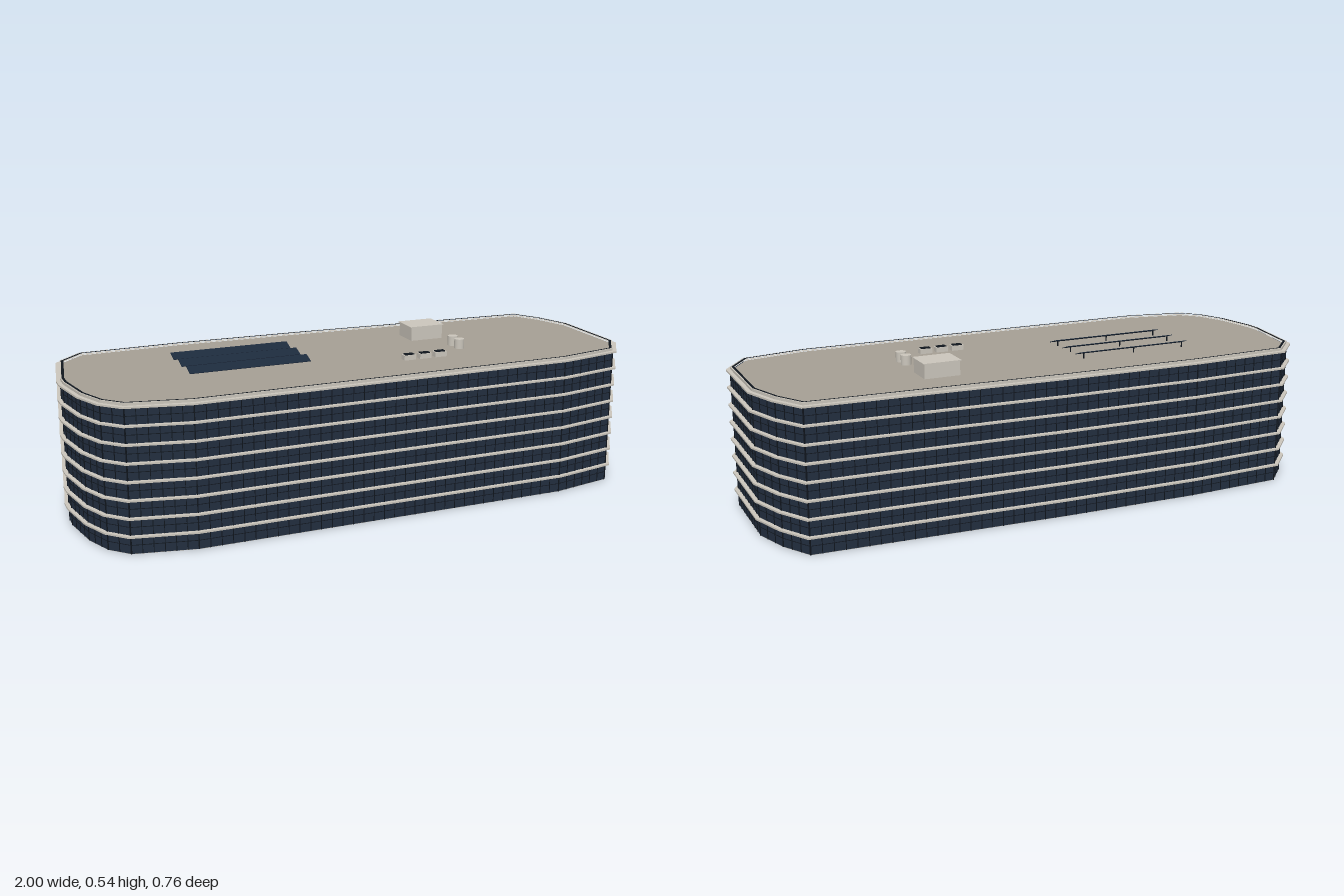
import * as THREE from 'three';

const mat = (name, color, side = THREE.FrontSide) => {
  const m = new THREE.MeshStandardMaterial({ color, side });
  m.name = name;
  return m;
};

// Wall footprint as [x, z], listed clockwise seen from above, starting back left
const FOOTPRINT = [
  [-0.86, -0.355], [-0.5, -0.367], [0, -0.355], [0.88, -0.312], [0.94, -0.21],
  [0.983, -0.085], [0.983, 0.22], [0.915, 0.322], [0.69, 0.365], [-0.65, 0.365],
  [-0.86, 0.322], [-0.92, 0.26], [-0.96, 0.16], [-0.985, 0.01], [-0.985, -0.04],
  [-0.945, -0.27],
].map(([x, z]) => new THREE.Vector2(x, z));

// Mitred offset of the footprint, positive is outward
function offset(d) {
  const n = FOOTPRINT.length;
  const normal = (a, b) => new THREE.Vector2(b.y - a.y, a.x - b.x).normalize();
  return FOOTPRINT.map((p, i) => {
    const n1 = normal(FOOTPRINT[(i + n - 1) % n], p);
    const n2 = normal(p, FOOTPRINT[(i + 1) % n]);
    const m = n1.clone().add(n2).normalize();
    return p.clone().addScaledVector(m, d / m.dot(n1));
  });
}

// Upright prism of the footprint, hollow when an inner offset is given
function prism(outer, inner, y0, y1) {
  const pts = (d) => offset(d).map((p) => new THREE.Vector2(p.x, -p.y));
  const shape = new THREE.Shape(pts(outer));
  if (inner !== null) shape.holes.push(new THREE.Path(pts(inner)));
  const g = new THREE.ExtrudeGeometry(shape, { depth: y1 - y0, bevelEnabled: false });
  return g.rotateX(-Math.PI / 2).translate(0, y0, 0);
}

export function createModel() {
  const glass = mat('navy glass', 0x222e3f);
  const frame = mat('dark frame', 0x10161e);
  const stone = mat('pale stone', 0xcbc6bc);
  const roofGrey = mat('roof grey', 0xa69f94);
  const solar = mat('solar blue', 0x1c2a3c);

  const model = new THREE.Group();
  model.name = 'officeBuilding';
  const add = (name, geometry, material, parent = model) => {
    const mesh = new THREE.Mesh(geometry, material);
    mesh.name = name;
    parent.add(mesh);
    return mesh;
  };
  const box = (name, w, h, d, x, y, z, material, parent) => {
    const mesh = add(name, new THREE.BoxGeometry(w, h, d), material, parent);
    mesh.position.set(x, y, z);
    return mesh;
  };

  const FLOORS = 8, STOREY = 0.061, ROOF = 0.4915;

  // Body, ground plate and roof deck
  add('glassWalls', prism(0, null, 0.001, 0.487), glass);
  add('groundPlate', prism(0, null, 0, 0.001), roofGrey);
  add('roofDeck', prism(-0.01, null, 0.487, ROOF), roofGrey);

  // Projecting slab edge and slim transom on each storey
  for (let i = 1; i <= FLOORS; i++) {
    const y = i * STOREY;
    add('slabEdge', prism(0.014, -0.004, y - 0.003, y + 0.003), stone);
    add('transom', prism(0.0012, -0.003, y - 0.0315, y - 0.0295), frame);
  }

  // Parapet with dark lining
  add('parapet', prism(0, -0.004, 0.487, 0.5), stone);
  add('parapetLining', prism(-0.004, -0.013, 0.487, 0.4995), frame);

  // Vertical mullions along every wall, with a post on each corner
  const places = [];
  FOOTPRINT.forEach((a, i) => {
    const b = FOOTPRINT[(i + 1) % FOOTPRINT.length];
    const count = Math.max(1, Math.round(a.distanceTo(b) / 0.038));
    const angle = -Math.atan2(b.y - a.y, b.x - a.x);
    for (let k = 0; k < count; k++) {
      places.push({ p: a.clone().lerp(b, k / count), angle, corner: k === 0 });
    }
  });
  const mullions = new THREE.Group();
  mullions.name = 'mullions';
  model.add(mullions);
  for (const { p, angle, corner } of places) {
    const w = corner ? 0.004 : 0.0025;
    const post = box('mullion', w, 0.486, 0.004, p.x, 0.2435, p.y, frame, mullions);
    post.rotation.y = angle;
  }

  // Three tilted rows of solar panels on struts
  for (const z of [-0.145, -0.045, 0.056]) {
    const row = new THREE.Group();
    row.name = 'solarRow';
    row.position.set(-0.365, 0.508, z);
    model.add(row);
    const panel = box('solarPanel', 0.43, 0.002, 0.045, 0, 0, 0, solar, row);
    panel.rotation.x = 0.33;
    for (const x of [-0.2, 0, 0.2]) {
      box('solarStrut', 0.004, 0.02, 0.003, x, -0.007, -0.012, frame, row);
    }
  }

  // Plant room with overhanging lid
  box('plantRoom', 0.126, 0.05, 0.1, 0.375, ROOF + 0.0245, -0.136, stone);
  box('plantRoomLid', 0.134, 0.003, 0.107, 0.375, 0.5425, -0.136, stone);

  // Two vent drums
  for (const z of [0.025, 0.076]) {
    const drum = add('ventDrum', new THREE.CylinderGeometry(0.018, 0.018, 0.036, 20), stone);
    drum.position.set(0.425, 0.508, z);
  }

  // Three small cooling units with dark grilles
  for (const x of [0.187, 0.247, 0.307]) {
    box('coolingUnit', 0.044, 0.018, 0.026, x, 0.5, 0.152, stone);
    box('coolingGrille', 0.034, 0.003, 0.02, x, 0.5105, 0.152, frame);
  }

  return model;
}
